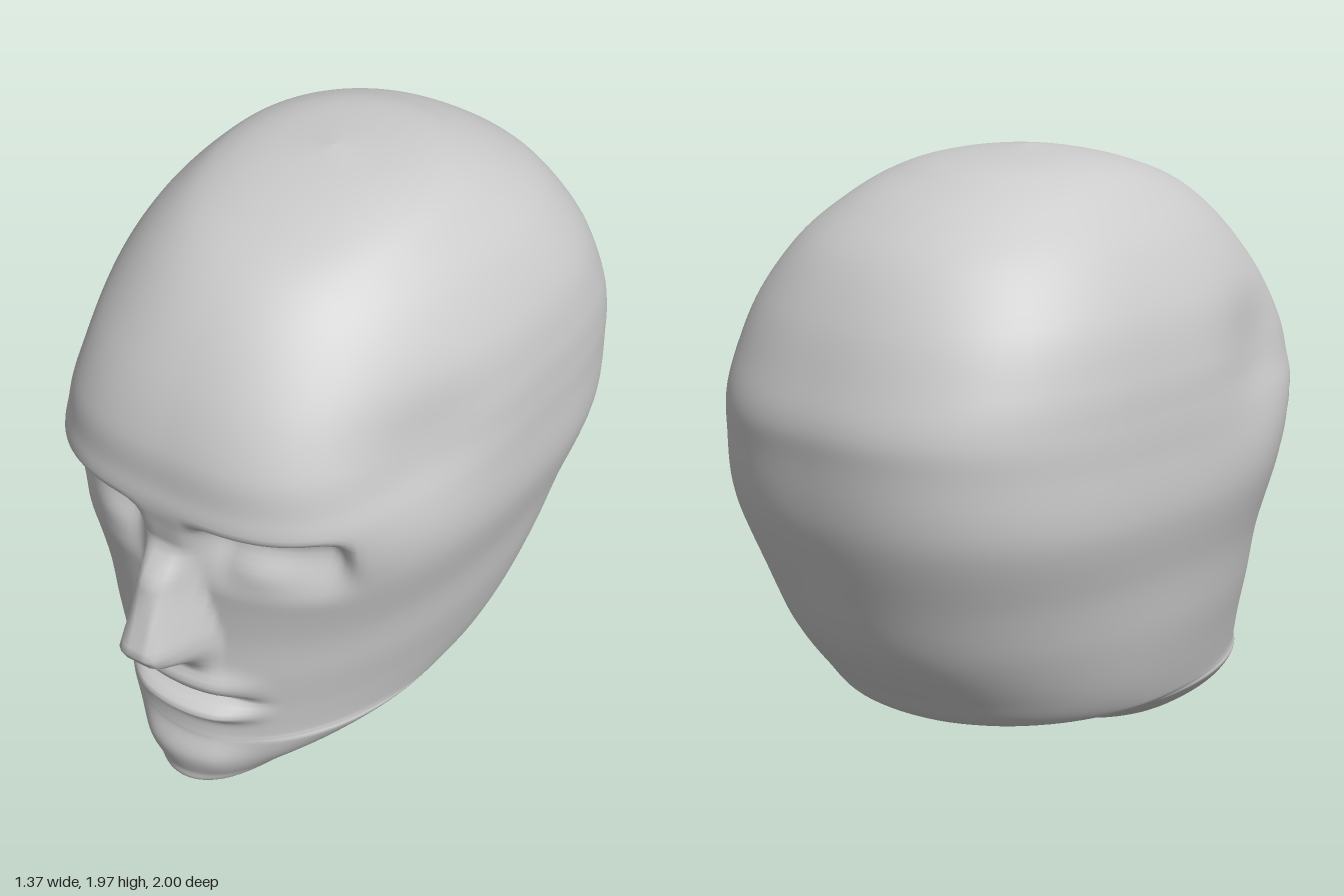
import * as THREE from 'three';

// Horizontal sections of the head: y, front z, back z, half width, z of widest point
const SECTIONS = [
  [0.005, 0.46, 0.455, 0.004, 0.457],
  [0.035, 0.66, 0.27, 0.1, 0.46],
  [0.07, 0.79, 0.15, 0.2, 0.42],
  [0.12, 0.8, 0, 0.28, 0.32],
  [0.2, 0.8, -0.12, 0.4, 0.2],
  [0.27, 0.79, -0.25, 0.485, 0.1],
  [0.295, 0.79, -0.45, 0.505, 0.02],
  [0.32, 0.79, -0.64, 0.52, -0.04],
  [0.42, 0.79, -0.735, 0.555, -0.1],
  [0.57, 0.79, -0.84, 0.595, -0.13],
  [0.75, 0.78, -0.91, 0.63, -0.18],
  [0.97, 0.79, -0.978, 0.683, -0.24],
  [1.17, 0.84, -0.995, 0.684, -0.26],
  [1.28, 0.83, -0.995, 0.68, -0.27],
  [1.4, 0.81, -0.955, 0.668, -0.27],
  [1.56, 0.735, -0.885, 0.628, -0.25],
  [1.72, 0.615, -0.775, 0.54, -0.2],
  [1.83, 0.48, -0.635, 0.44, -0.14],
  [1.9, 0.31, -0.49, 0.35, -0.1],
  [1.945, 0.14, -0.34, 0.22, -0.08],
  [1.97, -0.035, -0.045, 0.004, -0.04],
];
const STEPS = 9;
const COLS = 144;

const bell = (v, centre, spread) => Math.exp(-(((v - centre) / spread) ** 2));
const smooth = THREE.MathUtils.smoothstep;

// Smooth blend through the section table, s in section units
function sectionAt(s) {
  const last = SECTIONS.length - 1;
  const i = Math.min(Math.floor(s), last - 1);
  const t = s - i;
  const row = (k) => SECTIONS[THREE.MathUtils.clamp(k, 0, last)];
  return SECTIONS[0].map((_, c) => {
    const a = row(i - 1)[c], b = row(i)[c], d = row(i + 1)[c], e = row(i + 2)[c];
    const m0 = (d - a) / 2, m1 = (e - b) / 2;
    return b + t * (m0 + t * (3 * (d - b) - 2 * m0 - m1 + t * (2 * (b - d) + m0 + m1)));
  });
}

// Nose ridge: height and how far it stands out
const NOSE = [[0.58, 0], [0.64, 0.07], [0.7, 0.19], [0.75, 0.22], [0.98, 0.12], [1.06, 0.015], [1.15, 0]];

function noseHeight(y) {
  const i = NOSE.findIndex(([py]) => y <= py);
  if (i < 1) return 0;
  const [y0, h0] = NOSE[i - 1], [y1, h1] = NOSE[i];
  return THREE.MathUtils.mapLinear(y, y0, y1, h0, h1);
}

// Forward offset of the face surface
function faceRelief(x, y) {
  const ax = Math.abs(x);
  // Nose, a narrow ridge widening to the nostrils
  const widen = 1 - smooth(y, 0.68, 1);
  let dz = noseHeight(y) * (1 - smooth(ax, 0.03 + 0.02 * widen, 0.1 + 0.05 * widen));
  // Eye sockets, sharp under the brow and fading into the cheek
  const across = smooth(ax, 0.06, 0.17) * (1 - smooth(ax, 0.44, 0.54));
  dz -= 0.1 * across * smooth(y, 0.9, 1.11) * (1 - smooth(y, 1.12, 1.2));
  // Eyelids
  dz += 0.03 * bell(ax, 0.27, 0.12) * bell(y, 1.02, 0.06);
  // Lips, mouth line and chin
  const mouth = 1 - smooth(ax, 0.12, 0.3);
  dz += mouth * (0.04 * bell(y, 0.405, 0.03) + 0.035 * bell(y, 0.53, 0.045) - 0.04 * bell(y, 0.458, 0.02));
  dz += 0.025 * bell(y, 0.2, 0.08) * (1 - smooth(ax, 0.1, 0.24));
  return dz;
}

function headGeometry() {
  const rows = (SECTIONS.length - 1) * STEPS;
  const positions = [];
  const index = [];
  for (let i = 0; i <= rows; i++) {
    const [y, front, back, width, mid] = sectionAt(i / STEPS);
    // Outlines are squarest at brow level
    const frontPower = 2.05 + 0.85 * bell(y, 1.2, 0.45);
    const backPower = 2.05 + 0.45 * bell(y, 1.1, 0.6);
    const w = Math.max(width, 0.002);
    for (let j = 0; j < COLS; j++) {
      // Columns crowd towards the face
      const t = (j / COLS) * Math.PI * 2;
      const angle = t - 0.5 * Math.sin(t);
      const sx = Math.sin(angle), cz = Math.cos(angle);
      const depth = Math.max(cz > 0 ? front - mid : mid - back, 0.002);
      const n = cz > 0 ? frontPower : backPower;
      const r = (Math.abs(sx / w) ** n + Math.abs(cz / depth) ** n) ** (-1 / n);
      let x = r * sx;
      let z = mid + r * cz;
      if (cz > 0) z += faceRelief(x, y) * smooth(z, 0.35, 0.6);
      // Temple hollows
      x *= 1 - 0.09 * bell(z, 0.4, 0.25) * bell(y, 1.36, 0.2);
      positions.push(x, y, z);
      if (i < rows) {
        const a = i * COLS + j, b = i * COLS + ((j + 1) % COLS);
        index.push(a, b, a + COLS, b, b + COLS, a + COLS);
      }
    }
  }
  // End caps under the chin and on the crown
  const top = rows * COLS;
  for (let j = 1; j < COLS - 1; j++) {
    index.push(0, j + 1, j, top, top + j, top + j + 1);
  }
  const geometry = new THREE.BufferGeometry();
  geometry.setAttribute('position', new THREE.Float32BufferAttribute(positions, 3));
  geometry.setIndex(index);
  geometry.computeVertexNormals();
  return geometry;
}

export function createModel() {
  const group = new THREE.Group();
  group.name = 'mannequinHead';
  const head = new THREE.Mesh(headGeometry(), new THREE.MeshStandardMaterial({ color: 0xcccccc }));
  head.name = 'head';
  group.add(head);
  return group;
}
